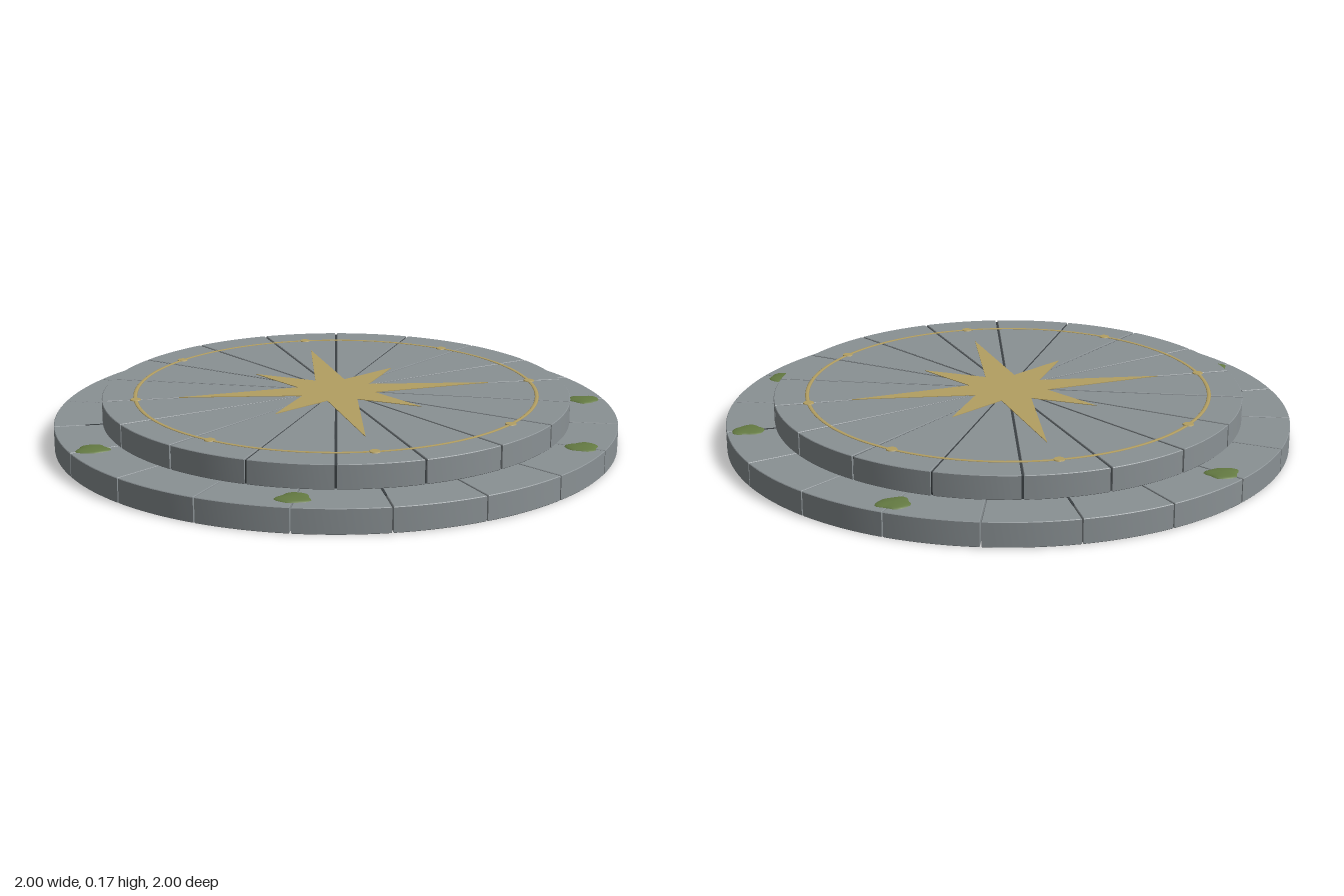
import * as THREE from 'three';
import { toCreasedNormals } from 'three/addons/utils/BufferGeometryUtils.js';

const material = (name, color) => Object.assign(new THREE.MeshStandardMaterial({ color }), { name });
const LOWER_TOP = 0.085, UPPER_TOP = 0.168;

// One stone wedge centred on +x, inset from its neighbours by a parallel joint.
function wedgeGeometry(radius, height, count, gap) {
  const half = Math.PI / count;
  const edge = half - Math.asin(gap / radius);
  const bevel = 0.002;
  const shape = new THREE.Shape();
  shape.moveTo(gap / Math.sin(half), 0);
  const steps = 8;
  for (let i = 0; i <= steps; i++) {
    const a = -edge + (2 * edge * i) / steps;
    shape.lineTo(radius * Math.cos(a), radius * Math.sin(a));
  }
  shape.closePath();
  const geometry = new THREE.ExtrudeGeometry(shape, {
    depth: height - 2 * bevel, bevelEnabled: true, bevelSegments: 1,
    bevelThickness: bevel, bevelSize: bevel, bevelOffset: -bevel,
  });
  geometry.translate(0, 0, bevel);
  geometry.rotateX(-Math.PI / 2);
  return toCreasedNormals(geometry, 0.5);
}

// A full ring of wedges with a joint lying on the x axis.
function stoneTier(name, radius, base, height, count, gap, mat) {
  const tier = new THREE.Group();
  tier.name = name;
  const geometry = wedgeGeometry(radius, height, count, gap);
  for (let i = 0; i < count; i++) {
    const stone = new THREE.Mesh(geometry, mat);
    stone.name = name + 'Stone';
    stone.position.y = base;
    stone.rotation.y = ((i + 0.5) * 2 * Math.PI) / count;
    tier.add(stone);
  }
  return tier;
}

// Squashed dome with a wavy outline.
function mossGeometry(seed) {
  const geometry = new THREE.SphereGeometry(1, 20, 6, 0, Math.PI * 2, 0, Math.PI / 2);
  const p = geometry.attributes.position;
  for (let i = 0; i < p.count; i++) {
    const x = p.getX(i), z = p.getZ(i), a = Math.atan2(z, x);
    const wave = 1 + 0.1 * Math.sin(3 * a + seed) + 0.06 * Math.sin(5 * a + seed * 2);
    p.setXYZ(i, x * wave * 0.056, p.getY(i) * 0.009, z * wave * 0.047);
  }
  geometry.computeVertexNormals();
  return geometry;
}

export function createModel() {
  const stone = material('stone', 0x8a9194);
  const joint = material('joint', 0x3b4043);
  const gold = material('gold', 0xb39f62);
  const moss = material('moss', 0x647a42);

  const model = new THREE.Group();
  model.name = 'roundStoneDais';
  const add = (name, geometry, mat, x = 0, y = 0, z = 0) => {
    const mesh = new THREE.Mesh(geometry, mat);
    mesh.name = name;
    mesh.position.set(x, y, z);
    model.add(mesh);
    return mesh;
  };

  // Two stacked tiers
  model.add(stoneTier('lowerTier', 1, 0, LOWER_TOP, 20, 0.0025, stone));
  model.add(stoneTier('upperTier', 0.83, LOWER_TOP, UPPER_TOP - LOWER_TOP, 18, 0.004, stone));

  // Dark filling behind the upper joints
  add('jointFill', new THREE.CylinderGeometry(0.823, 0.823, 0.077, 96), joint, 0, 0.1245, 0);

  // Short dark joints on the four axes of the lower step
  for (let i = 0; i < 4; i++) {
    const a = (i * Math.PI) / 2;
    const strip = add('axisJoint', new THREE.BoxGeometry(0.08, 0.004, 0.008), joint,
      0.85 * Math.cos(a), LOWER_TOP - 0.001, -0.85 * Math.sin(a));
    strip.rotation.y = a;
  }

  // Eight-pointed inlaid star
  const star = new THREE.Shape();
  for (let i = 0; i < 16; i++) {
    const r = i % 2 ? 0.14 : i % 4 ? 0.36 : 0.56;
    const a = (i * Math.PI) / 8;
    star[i ? 'lineTo' : 'moveTo'](r * Math.cos(a), r * Math.sin(a));
  }
  star.closePath();
  const starGeometry = new THREE.ExtrudeGeometry(star, { depth: 0.003, bevelEnabled: false });
  starGeometry.rotateX(-Math.PI / 2);
  add('star', starGeometry, gold, 0, UPPER_TOP - 0.001, 0);

  // Inlaid ring with eight studs
  const ring = new THREE.TorusGeometry(0.713, 0.007, 8, 128);
  ring.rotateX(Math.PI / 2);
  ring.scale(1, 0.3, 1);
  add('ring', ring, gold, 0, UPPER_TOP, 0);
  const stud = new THREE.CylinderGeometry(0.018, 0.02, 0.004, 12);
  for (let i = 0; i < 8; i++) {
    const a = (i * Math.PI) / 4;
    add('ringStud', stud, gold, 0.713 * Math.cos(a), UPPER_TOP + 0.001, 0.713 * Math.sin(a));
  }

  // Moss patches on the lower step
  const patches = [[-0.54, -0.75], [0.54, -0.75], [0.925, 0], [0.745, 0.54], [-0.285, 0.87], [-0.875, 0.28]];
  patches.forEach(([x, z], i) => add('mossPatch', mossGeometry(i * 1.3), moss, x, LOWER_TOP - 0.0005, z));

  return model;
}
